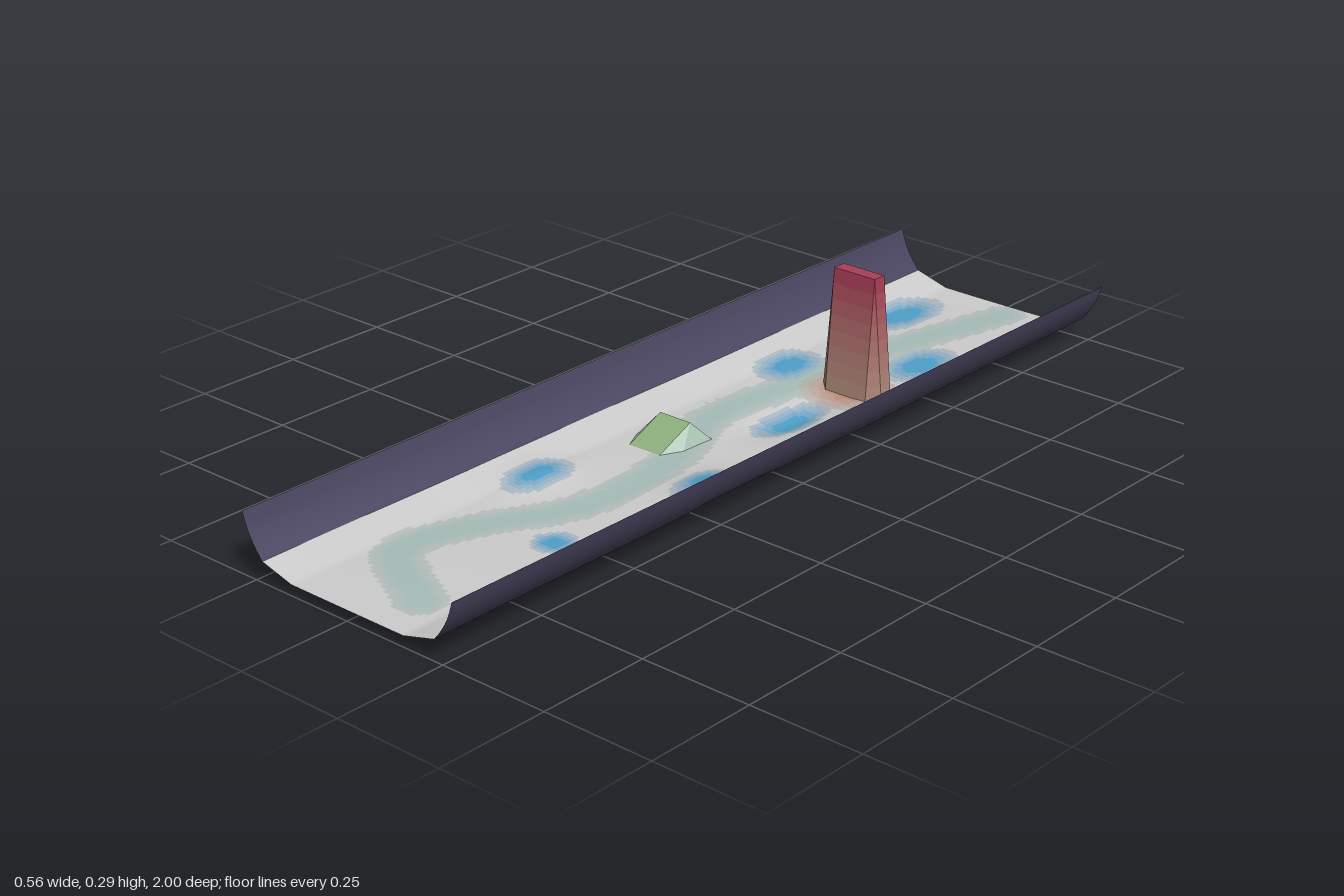
import * as THREE from 'three';

const mat = (color, flat = false) =>
  new THREE.MeshStandardMaterial({ color, flatShading: flat, side: THREE.DoubleSide });

// Stained spots: centre x, z, radii, and the height change of the ground there
const SPOTS = [
  [-0.12, -0.80, 0.07, 0.14, -0.003], [0.09, -0.59, 0.07, 0.12, -0.003],
  [-0.12, -0.40, 0.07, 0.10, 0.003], [0.05, -0.20, 0.055, 0.13, -0.021],
  [0.16, 0.19, 0.065, 0.10, 0.02], [-0.13, 0.37, 0.06, 0.10, 0.016],
  [0.09, 0.55, 0.05, 0.055, -0.002],
];
// Winding faint trail along the ground
const TRAIL = new THREE.CatmullRomCurve3([
  [0.05, -0.95], [0, -0.7], [-0.03, -0.45], [-0.07, -0.1], [0.02, 0.15],
  [0.02, 0.4], [-0.07, 0.6], [-0.1, 0.77], [0.08, 0.89],
].map(([x, z]) => new THREE.Vector3(x, 0, z))).getPoints(80);

// Ground height: flat middle, raised edges, soft waves, humps and a pit
function groundY(x, z) {
  const edge = Math.max(0, Math.abs(x) - 0.15) / 0.08;
  let y = 0.022 + 0.021 * edge + 0.003 * Math.sin(z * 9 + 0.6) * Math.cos(x * 6);
  for (const [cx, cz, rx, rz, h] of SPOTS) {
    const d = ((x - cx) / rx) ** 2 + ((z - cz) / rz) ** 2;
    y += h * Math.exp(-1.1 * d);
  }
  return y;
}

// Ground colour at a point, quantised into a few blend steps
function groundColor(x, z) {
  const soft = (d, steps) => Math.round(THREE.MathUtils.clamp(1.5 * (1 - d), 0, 1) * steps) / steps;
  const color = new THREE.Color(0xbcbebe);
  const trail = Math.min(...TRAIL.map((p) => Math.hypot(p.x - x, p.z - z)));
  color.lerp(new THREE.Color(0x9dbbb3), soft(trail / 0.06, 3) * 0.75);
  let blue = 0;
  for (const [cx, cz, rx, rz] of SPOTS) blue = Math.max(blue, soft(Math.hypot((x - cx) / rx, (z - cz) / rz), 4));
  color.lerp(new THREE.Color(0x4f9fc8), blue);
  const clay = soft(Math.hypot((x - 0.06) / 0.125, (z + 0.385) / 0.1), 4);
  return color.lerp(new THREE.Color(0xbd8f78), clay).getHex();
}

// One continuous ground sheet, its cells grouped by colour
function makeGround() {
  const nx = 46, nz = 200, pos = [], cells = new Map();
  for (let j = 0; j <= nz; j++) for (let i = 0; i <= nx; i++) {
    const x = -0.23 + (0.46 * i) / nx, z = -1 + (2 * j) / nz;
    pos.push(x, groundY(x, z), z);
    if (i === nx || j === nz) continue;
    const a = j * (nx + 1) + i, b = a + nx + 1;
    const key = groundColor(x + 0.005, z + 0.005);
    if (!cells.has(key)) cells.set(key, []);
    cells.get(key).push(a, b, a + 1, a + 1, b, b + 1);
  }
  const geo = new THREE.BufferGeometry();
  geo.setAttribute('position', new THREE.Float32BufferAttribute(pos, 3));
  const index = [], materials = [];
  for (const [key, list] of cells) {
    geo.addGroup(index.length, list.length, materials.length);
    materials.push(mat(key));
    for (const v of list) index.push(v);
  }
  geo.setIndex(index);
  geo.computeVertexNormals();
  return new THREE.Mesh(geo, materials);
}

// Curved side wall; its foot follows the edge of the ground
function makeWall(side) {
  const profile = new THREE.CatmullRomCurve3([[0.23, 0.043], [0.25, 0.068], [0.268, 0.1], [0.279, 0.133]]
    .map(([x, y]) => new THREE.Vector3(x, y, 0))).getPoints(8);
  const geo = new THREE.PlaneGeometry(1, 1, 8, 80);
  const p = geo.attributes.position;
  for (let k = 0; k < p.count; k++) {
    const i = k % 9, z = -1 + (2 * Math.floor(k / 9)) / 80;
    const y = i === 0 ? groundY(side * 0.23, z) : profile[i].y;
    p.setXYZ(k, side * profile[i].x, y, z);
  }
  if (side > 0) geo.index.array.reverse();
  geo.computeVertexNormals();
  return new THREE.Mesh(geo, mat(0x4a4560));
}

// Flat faces from corner lists, each fanned into triangles
function faces(list, color) {
  const pos = [];
  for (const f of list) for (let i = 1; i < f.length - 1; i++) pos.push(...f[0], ...f[i], ...f[i + 1]);
  const geo = new THREE.BufferGeometry();
  geo.setAttribute('position', new THREE.Float32BufferAttribute(pos, 3));
  geo.computeVertexNormals();
  return new THREE.Mesh(geo, mat(color, true));
}

// Tapering tower: rectangular top, eight-sided foot, shaded in bands
function makeTower() {
  const tower = new THREE.Group(), bands = 8, y0 = 0.018, y1 = 0.29;
  const corners = [[1, 1], [1, -1], [-1, -1], [-1, 1]];
  const ring = (t) => corners.flatMap(([sx, sz], k) => {
    const front = [sx * 0.054, sz * THREE.MathUtils.lerp(0.04, 0.016, t)];
    const flank = [sx * THREE.MathUtils.lerp(0.079, 0.054, t), sz * 0.016];
    const pair = k % 2 ? [flank, front] : [front, flank];
    return pair.map(([x, z]) => [0.067 + x, THREE.MathUtils.lerp(y0, y1, t), -0.4 + z]);
  });
  for (let b = 0; b < bands; b++) {
    const lo = ring(b / bands), hi = ring((b + 1) / bands);
    const sides = lo.map((v, i) => [v, lo[(i + 1) % 8], hi[(i + 1) % 8], hi[i]]);
    const color = new THREE.Color(0xae8878).lerp(new THREE.Color(0xa83e55), b / (bands - 1));
    const band = faces(sides, color);
    band.name = 'towerBand';
    tower.add(band);
  }
  const cap = faces([ring(1)], 0xa83e55);
  cap.name = 'towerTop';
  tower.add(cap);
  return tower;
}

// Small ramp: long front slope, short back slope and folded flanks
function makeRamp() {
  const ramp = new THREE.Group(), y = 0.022, cx = -0.058;
  const at = (s, w, h, z) => [cx + s * w, h, z];
  const ridge = (s) => at(s, 0.041, 0.066, 0.04), toe = (s) => at(s, 0.041, y, 0.14);
  const heel = (s) => at(s, 0.066, y, 0), hip = (s) => at(s, 0.066, y, 0.09);
  const slope = faces([[ridge(-1), toe(-1), toe(1), ridge(1)]], 0x8eb07e);
  slope.name = 'rampSlope';
  const back = faces([[ridge(1), heel(1), heel(-1), ridge(-1)]], 0xb2cfc8);
  back.name = 'rampBack';
  const flanks = faces([
    [ridge(1), toe(1), hip(1), heel(1)], [ridge(-1), heel(-1), hip(-1), toe(-1)],
  ], 0xa9c4b2);
  flanks.name = 'rampFlanks';
  ramp.add(slope, back, flanks);
  return ramp;
}

export function createModel() {
  const model = new THREE.Group();
  model.name = 'channel';
  const parts = {
    ground: makeGround(), leftWall: makeWall(1), rightWall: makeWall(-1),
    tower: makeTower(), ramp: makeRamp(),
  };
  for (const [name, part] of Object.entries(parts)) {
    part.name = name;
    model.add(part);
  }
  return model;
}
